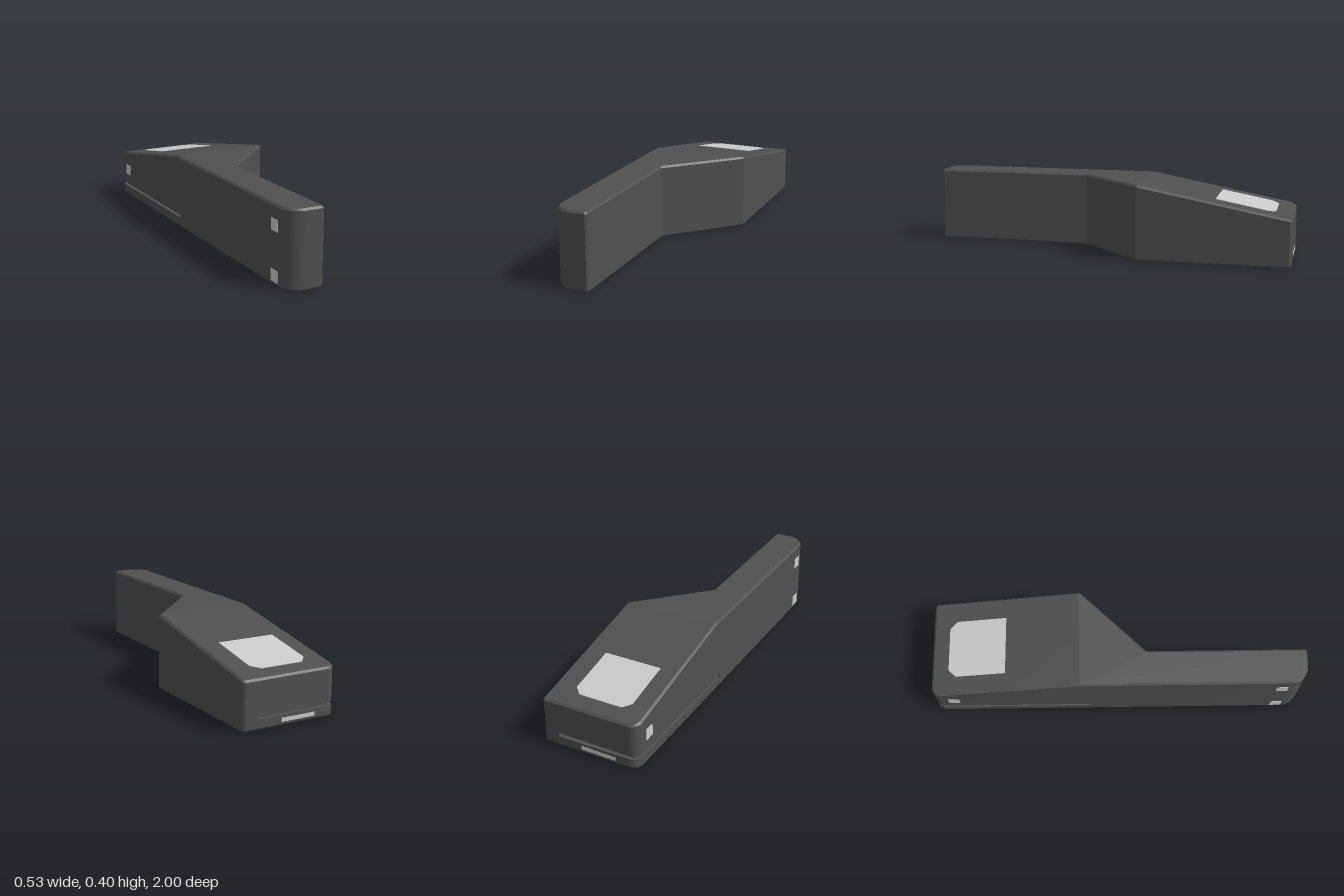
import * as THREE from 'three';
import { toCreasedNormals } from 'three/addons/utils/BufferGeometryUtils.js';

const W = 0.265, CREST = -0.2, BEVEL = 0.01, GROOVE = 0.02;

// Height of the upper face: level at the front, sloping down behind the crest
const topAt = z => 0.4 - Math.max(0, CREST - z) * 0.1875;

// Quarter-round corner around (cx, cz), counter-clockwise seen from above
function corner(cx, cz, r, start, steps, groove = false) {
  return Array.from({ length: steps + 1 }, (_, i) => {
    const a = start + (i / steps) * Math.PI / 2;
    return { x: cx + r * Math.cos(a), z: cz - r * Math.sin(a), groove };
  });
}

// Plan outline: narrow front bar, diagonal flank, wide rear block
function makeOutline() {
  const pt = (x, z, groove = false) => ({ x, z, groove });
  const P = Math.PI;
  const pts = [
    ...corner(-W + 0.1, 0.9, 0.1, P, 12),
    ...corner(-0.085, 0.99, 0.01, 1.5 * P, 1),
    pt(-0.075, 0.15),
    pt(W, CREST),
    ...corner(W - 0.01, -0.99, 0.01, 0, 1),
    pt(0.18, -1), pt(0.179, -1, true),
    ...corner(-W + 0.05, -0.95, 0.05, P / 2, 12, true),
    pt(-W, CREST, true),
    pt(-W, -0.151, true), pt(-W, -0.15),
  ];
  // Mitred outward direction at each point, used for insets
  const n = pts.length;
  const normal = (a, b) => new THREE.Vector2(a.z - b.z, b.x - a.x).normalize();
  pts.forEach((p, i) => {
    const n1 = normal(pts[(i + n - 1) % n], p), n2 = normal(p, pts[(i + 1) % n]);
    p.out = n1.clone().add(n2).divideScalar(1 + n1.dot(n2));
  });
  return pts;
}

function bodyGeometry() {
  const pts = makeOutline(), n = pts.length;
  // Rings from bottom to top: bevel, wall, groove, wall, bevel
  const ring = (yAt, inset, grooveInset = 0) => pts.map(p => {
    const d = inset + (p.groove ? grooveInset : 0);
    return new THREE.Vector3(p.x - p.out.x * d, yAt(p.z), p.z - p.out.y * d);
  });
  const rings = [
    ring(() => 0, BEVEL), ring(() => BEVEL, 0),
    ring(() => 0.055, 0), ring(() => 0.055, 0, GROOVE),
    ring(() => 0.075, 0, GROOVE), ring(() => 0.075, 0),
    ring(z => topAt(z) - BEVEL, 0), ring(topAt, BEVEL),
  ];
  const pos = [];
  const tri = (a, b, c) => {
    if (a.equals(b) || b.equals(c) || c.equals(a)) return;
    pos.push(...a.toArray(), ...b.toArray(), ...c.toArray());
  };
  for (let k = 0; k < rings.length - 1; k++) {
    const lo = rings[k], hi = rings[k + 1];
    for (let i = 0; i < n; i++) {
      const j = (i + 1) % n;
      tri(lo[i], lo[j], hi[j]);
      tri(lo[i], hi[j], hi[i]);
    }
  }
  // Caps, split along the crest line so both upper faces stay flat
  const p = pts.findIndex(v => v.x === W && v.z === CREST);
  const q = pts.findIndex(v => v.x === -W && v.z === CREST);
  const cap = (loop, flip) => {
    const flat = loop.map(v => new THREE.Vector2(v.x, -v.z));
    for (const [a, b, c] of THREE.ShapeUtils.triangulateShape(flat, [])) {
      if (flip) tri(loop[a], loop[c], loop[b]);
      else tri(loop[a], loop[b], loop[c]);
    }
  };
  const top = rings[rings.length - 1];
  cap(top.slice(p, q + 1), false);
  cap([...top.slice(q), ...top.slice(0, p + 1)], false);
  cap(rings[0], true);

  const geo = new THREE.BufferGeometry();
  geo.setAttribute('position', new THREE.Float32BufferAttribute(pos, 3));
  return toCreasedNormals(geo, 0.16);
}

// Pale window with two clipped corners, laid on the slope
function windowGeometry() {
  const shape = new THREE.Shape([
    [-0.165, 0.6], [0.15, 0.6], [0.15, 0.87], [0.11, 0.91], [-0.125, 0.91], [-0.165, 0.87],
  ].map(([x, y]) => new THREE.Vector2(x, y)));
  const geo = new THREE.ExtrudeGeometry(shape, { depth: 0.004, bevelEnabled: false });
  geo.rotateX(-Math.PI / 2);
  const a = geo.attributes.position;
  for (let i = 0; i < a.count; i++) a.setY(i, a.getY(i) - 0.002 + topAt(a.getZ(i)));
  geo.computeVertexNormals();
  return geo;
}

export function createModel() {
  const model = new THREE.Group();
  model.name = 'device';
  const dark = new THREE.MeshStandardMaterial({ color: 0x505050 });
  const pale = new THREE.MeshStandardMaterial({ color: 0xcccccc });
  const add = (name, geo, mat, x = 0, y = 0, z = 0) => {
    const mesh = new THREE.Mesh(geo, mat);
    mesh.name = name;
    mesh.position.set(x, y, z);
    model.add(mesh);
  };

  add('body', bodyGeometry(), dark);
  add('topWindow', windowGeometry(), pale);

  // Light strip below the groove on the rear face
  add('rearStrip', new THREE.BoxGeometry(0.19, 0.02, 0.004), pale, -0.045, 0.03, -1);

  // Small square sensors on the long flat side
  const square = new THREE.BoxGeometry(0.004, 0.06, 0.06);
  [[0.16, -0.89], [0.3, 0.87], [0.05, 0.87]].forEach(([y, z], i) =>
    add(`sideSensor${i + 1}`, square, pale, -W, y, z));

  return model;
}
